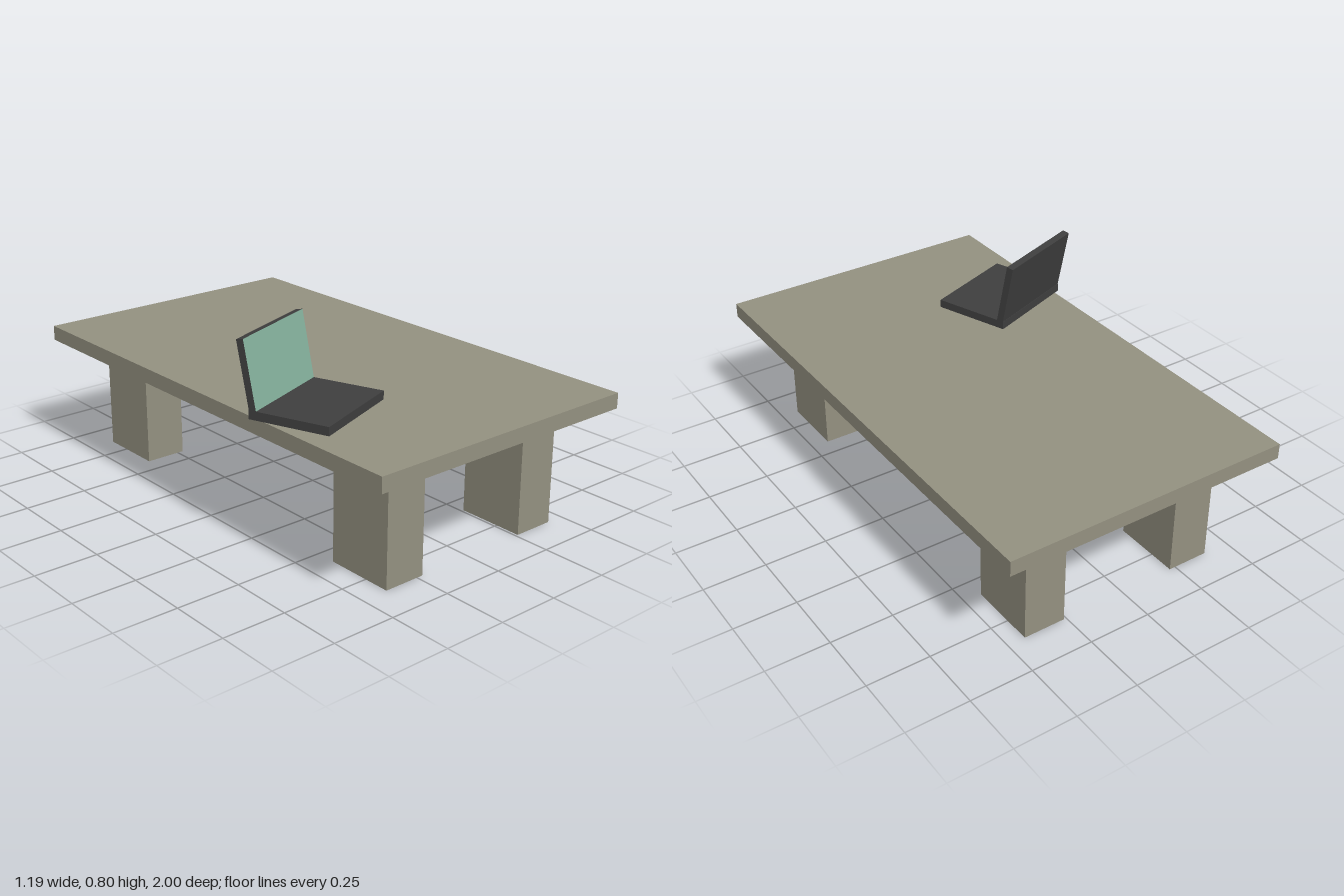
import * as THREE from 'three';

const wood = new THREE.MeshStandardMaterial({ color: 0x939080 });
const dark = new THREE.MeshStandardMaterial({ color: 0x3e3e3e });
const green = new THREE.MeshStandardMaterial({ color: 0x84b19c });

function box(name, [w, h, d], [x, y, z], material) {
  const mesh = new THREE.Mesh(new THREE.BoxGeometry(w, h, d), material);
  mesh.name = name;
  mesh.position.set(x, y, z);
  return mesh;
}

export function createModel() {
  const model = new THREE.Group();
  model.name = 'deskWithLaptop';

  // Table: flat top on four block legs
  const table = new THREE.Group();
  table.name = 'table';
  table.position.x = 0.018;
  table.add(box('tableTop', [1.154, 0.06, 2], [0, 0.486, 0], wood));
  for (const sx of [-1, 1]) {
    for (const sz of [-1, 1]) {
      const name = (sz > 0 ? 'front' : 'back') + (sx > 0 ? 'Left' : 'Right') + 'Leg';
      table.add(box(name, [0.168, 0.456, 0.275], [sx * 0.327, 0.228, sz * 0.717], wood));
    }
  }
  model.add(table);

  // Open laptop, turned on the table
  const laptop = new THREE.Group();
  laptop.name = 'laptop';
  laptop.position.set(-0.338, 0.516, 0.428);
  laptop.rotation.y = THREE.MathUtils.degToRad(20.4);
  laptop.add(box('laptopBase', [0.4, 0.033, 0.315], [0, 0.0165, 0], dark));

  // Lid leans back about its lower front edge; its whole front face is the screen
  const lid = new THREE.Group();
  lid.name = 'laptopLid';
  lid.position.set(0, 0.033, -0.1275);
  lid.rotation.x = THREE.MathUtils.degToRad(-10.6);
  lid.add(box('lidAndScreen', [0.4, 0.257, 0.028], [0, 0.1285, -0.014],
    [dark, dark, dark, dark, green, dark]));
  laptop.add(lid);
  model.add(laptop);

  return model;
}
